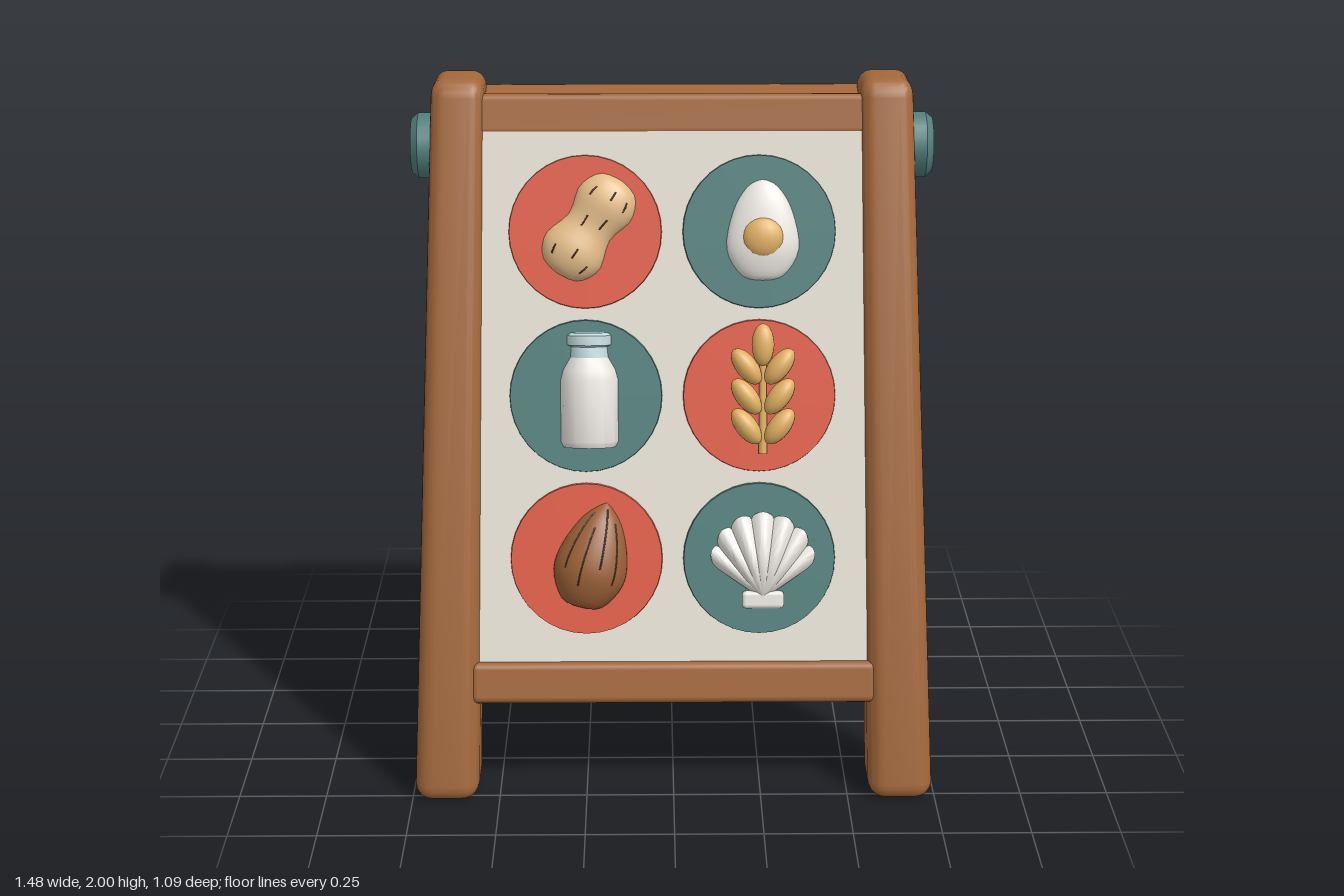
import * as THREE from 'three';
import { toCreasedNormals } from 'three/addons/utils/BufferGeometryUtils.js';
import { RoundedBoxGeometry } from 'three/addons/geometries/RoundedBoxGeometry.js';

const paint = (name, color) => {
  const m = new THREE.MeshStandardMaterial({ color });
  m.name = name;
  return m;
};
const MAT = {
  wood: paint('wood', 0xa2673b),
  almond: paint('almond brown', 0x9a6037),
  dark: paint('dark groove', 0x5a3820),
  cream: paint('cream board', 0xe7e1d5),
  red: paint('red', 0xdf5b45),
  teal: paint('teal', 0x507e7b),
  white: paint('white', 0xeeeae4),
  tan: paint('peanut tan', 0xe3bc89),
  gold: paint('gold', 0xdfae62),
  glass: paint('pale blue', 0xc2d8da),
};

function add(parent, name, geo, mat, x = 0, y = 0, z = 0) {
  const mesh = new THREE.Mesh(geo, mat);
  mesh.name = name;
  mesh.position.set(x, y, z);
  parent.add(mesh);
  return mesh;
}

function subgroup(parent, name, x = 0, y = 0, z = 0) {
  const g = new THREE.Group();
  g.name = name;
  g.position.set(x, y, z);
  parent.add(g);
  return g;
}

// Box with softened edges between two corners
function bar(parent, name, mat, [x0, x1], [y0, y1], [z0, z1], r = 0.02) {
  const geo = new RoundedBoxGeometry(x1 - x0, y1 - y0, z1 - z0, 2, r);
  return add(parent, name, geo, mat, (x0 + x1) / 2, (y0 + y1) / 2, (z0 + z1) / 2);
}

const spline = (pts) => new THREE.SplineCurve(pts.map(([r, y]) => new THREE.Vector2(r, y)));

// Front half of a smooth turned body, flattened towards the board
function turned(parent, name, curve, mat, flat) {
  const pts = curve.getPoints(20).map((p) => new THREE.Vector2(Math.max(p.x, 0), p.y));
  const mesh = add(parent, name, new THREE.LatheGeometry(pts, 16, -Math.PI / 2, Math.PI), mat);
  mesh.scale.z = flat;
}

// Thin line that follows a turned body from t0 to t1 at angle phi
function groove(parent, curve, flat, phi, t0, t1) {
  const pts = [];
  for (let i = 0; i <= 6; i++) {
    const p = curve.getPoint(t0 + ((t1 - t0) * i) / 6);
    pts.push(new THREE.Vector3(p.x * Math.sin(phi), p.y, p.x * Math.cos(phi) * flat));
  }
  add(parent, 'groove', new THREE.TubeGeometry(new THREE.CatmullRomCurve3(pts), 8, 0.0025, 5), MAT.dark);
}

function ellipsoid(parent, name, mat, x, y, z, rx, ry, rz, tilt = 0) {
  const mesh = add(parent, name, new THREE.SphereGeometry(1, 16, 12), mat, x, y, z);
  mesh.scale.set(rx, ry, rz);
  mesh.rotation.z = tilt;
}

function peanut(g, m) {
  g.rotation.z = -0.6 * m;
  const c = spline([[0, -0.16], [0.06, -0.145], [0.092, -0.085], [0.07, 0], [0.088, 0.08], [0.06, 0.142], [0, 0.16]]);
  turned(g, 'peanutShell', c, MAT.tan, 0.6);
  for (const [phi, t] of [[-0.6, 0.25], [0.1, 0.3], [0.7, 0.24], [-0.3, 0.48], [0.4, 0.52], [-0.6, 0.66], [0.1, 0.7], [0.7, 0.68]]) {
    groove(g, c, 0.6, phi, t, t + 0.07);
  }
}

function egg(g) {
  const c = spline([[0, -0.145], [0.06, -0.13], [0.103, -0.055], [0.085, 0.05], [0.045, 0.12], [0, 0.145]]);
  turned(g, 'eggWhite', c, MAT.white, 0.42);
  ellipsoid(g, 'yolk', MAT.gold, 0, -0.022, 0.025, 0.06, 0.06, 0.032);
}

function bottle(g) {
  const lathe = (name, mat, pts) => {
    const profile = pts.map(([r, y]) => new THREE.Vector2(r, y));
    const geo = new THREE.LatheGeometry(profile, 6, -Math.PI / 2, Math.PI);
    const mesh = add(g, name, toCreasedNormals(geo, 0.6), mat);
    mesh.scale.z = 0.92;
  };
  lathe('bottleBody', MAT.white, [[0, -0.145], [0.075, -0.145], [0.083, -0.13], [0.083, 0.045], [0.075, 0.075], [0.055, 0.11]]);
  lathe('bottleNeck', MAT.glass, [[0.055, 0.11], [0.052, 0.14], [0.064, 0.145], [0.064, 0.172], [0.052, 0.18], [0, 0.18]]);
}

function wheat(g) {
  add(g, 'stalk', new THREE.CylinderGeometry(0.01, 0.012, 0.28, 8), MAT.gold, 0, -0.03, 0.015);
  ellipsoid(g, 'topGrain', MAT.gold, 0, 0.14, 0.022, 0.032, 0.06, 0.026);
  for (const y of [0.078, -0.007, -0.092]) {
    for (const s of [-1, 1]) {
      ellipsoid(g, 'grain', MAT.gold, s * 0.047, y, 0.022, 0.031, 0.06, 0.032, -s * 0.65);
    }
  }
}

function almond(g, m) {
  g.rotation.z = -0.25 * m;
  const c = spline([[0, -0.15], [0.06, -0.135], [0.102, -0.06], [0.095, 0.02], [0.055, 0.11], [0, 0.165]]);
  turned(g, 'almondBody', c, MAT.almond, 0.8);
  for (const [phi, t] of [[-0.75, 0.45], [-0.25, 0.35], [0.25, 0.5], [0.75, 0.4]]) groove(g, c, 0.8, phi, t, t + 0.4);
}

// Domed fan with seven ribs spreading from the hinge
function shell(g) {
  const geo = new THREE.PlaneGeometry(1, 1, 56, 12);
  const p = geo.attributes.position;
  for (let i = 0; i < p.count; i++) {
    const u = p.getX(i) * 2;
    const v = p.getY(i) + 0.5;
    const ridge = Math.abs(Math.cos((u * 7 * Math.PI) / 2));
    const r = v * (0.252 - 0.07 * u * u - 0.014 * (1 - ridge));
    const dome = Math.sin(Math.PI * (0.15 + 0.85 * v)) * (1 - 0.75 * u * u);
    p.setXYZ(i, r * Math.sin(u * 0.97), r * Math.cos(u * 0.97) - 0.12, 0.052 * dome + 0.014 * ridge * v + 0.002);
  }
  const fan = toCreasedNormals(geo, 0.6);
  add(g, 'shellFan', fan, MAT.white);
  bar(g, 'hinge', MAT.white, [-0.06, 0.06], [-0.145, -0.095], [0, 0.032], 0.012);
}

// Tapered post, cut level at the foot and head
function leg(parent, s, length, slope) {
  const geo = new RoundedBoxGeometry(0.185, length, 0.2, 3, 0.05);
  const p = geo.attributes.position;
  for (let i = 0; i < p.count; i++) {
    const t = p.getY(i) / length + 0.5;
    const x = p.getX(i) * (1 - 0.19 * t) + s * (0.651 - 0.046 * t);
    const z = p.getZ(i) * (1 - 0.14 * t) - 0.065 + 0.005 * t;
    p.setXYZ(i, x, t * length - z * slope, z);
  }
  add(parent, s > 0 ? 'leftLeg' : 'rightLeg', toCreasedNormals(geo, 0.7), MAT.wood);
}

const ICONS = [
  ['peanut', peanut, -0.235, 1.595], ['egg', egg, 0.255, 1.587],
  ['milkBottle', bottle, -0.237, 1.13], ['wheat', wheat, 0.255, 1.135],
  ['almond', almond, -0.228, 0.682], ['scallop', shell, 0.255, 0.68],
];

// One leaning half of the stand; m = -1 keeps each sign at the same x on the back
function half(root, name, m, foot, slope, ledge) {
  const g = subgroup(root, name, 0, 0, foot);
  const tilt = Math.atan(slope);
  const k = 1 / Math.cos(tilt);
  g.rotation.set(-tilt, m > 0 ? 0 : Math.PI, 0, 'YXZ');
  leg(g, 1, 2 * k, slope);
  leg(g, -1, 2 * k, slope);
  bar(g, 'topRail', MAT.wood, [-0.56, 0.56], [1.845 * k, 1.96 * k], [-0.1, 0.002]);
  bar(g, 'bottomRail', MAT.wood, [-0.58, 0.58], [0.272 * k, 0.387 * k], [-0.12, 0.026]);
  bar(g, 'innerLedge', MAT.wood, [-0.56, 0.56], [0.3 * k, 0.42 * k], [-ledge, -0.05]);
  add(g, 'board', new THREE.BoxGeometry(1.12, 1.52 * k, 0.03), MAT.cream, 0, 1.12 * k, -0.015);
  add(g, 'boardBack', new THREE.BoxGeometry(1.12, 1.52 * k, 0.03), MAT.wood, 0, 1.12 * k, -0.045);
  ICONS.forEach(([label, build, x, y], i) => {
    const col = i % 2;
    const row = (i - col) / 2;
    const disc = add(g, 'disc', new THREE.CylinderGeometry(0.215, 0.217, 0.014, 36),
      (row + col) % 2 ? MAT.teal : MAT.red, m * (col ? 0.245 : -0.247), (1.581 - row * 0.452) * k, 0.006);
    disc.rotation.x = Math.PI / 2;
    build(subgroup(g, label, m * x, y * k, 0.008), m);
  });
}

export function createModel() {
  const root = new THREE.Group();
  root.name = 'sandwichBoard';
  half(root, 'frontHalf', 1, 0.524, 0.24, 0.15);
  half(root, 'backHalf', -1, -0.512, 0.205, 0.2);

  // Hinge pegs through the tops of the legs
  const profile = [[0, 0], [0.095, 0], [0.095, 0.122], [0.078, 0.142], [0, 0.142]];
  for (const s of [-1, 1]) {
    const geo = new THREE.LatheGeometry(profile.map(([r, y]) => new THREE.Vector2(r, y)), 16);
    const peg = add(root, s > 0 ? 'leftPeg' : 'rightPeg', toCreasedNormals(geo, 0.6), MAT.teal, s * 0.6, 1.798, -0.012);
    peg.rotation.z = -s * Math.PI / 2;
  }
  return root;
}
